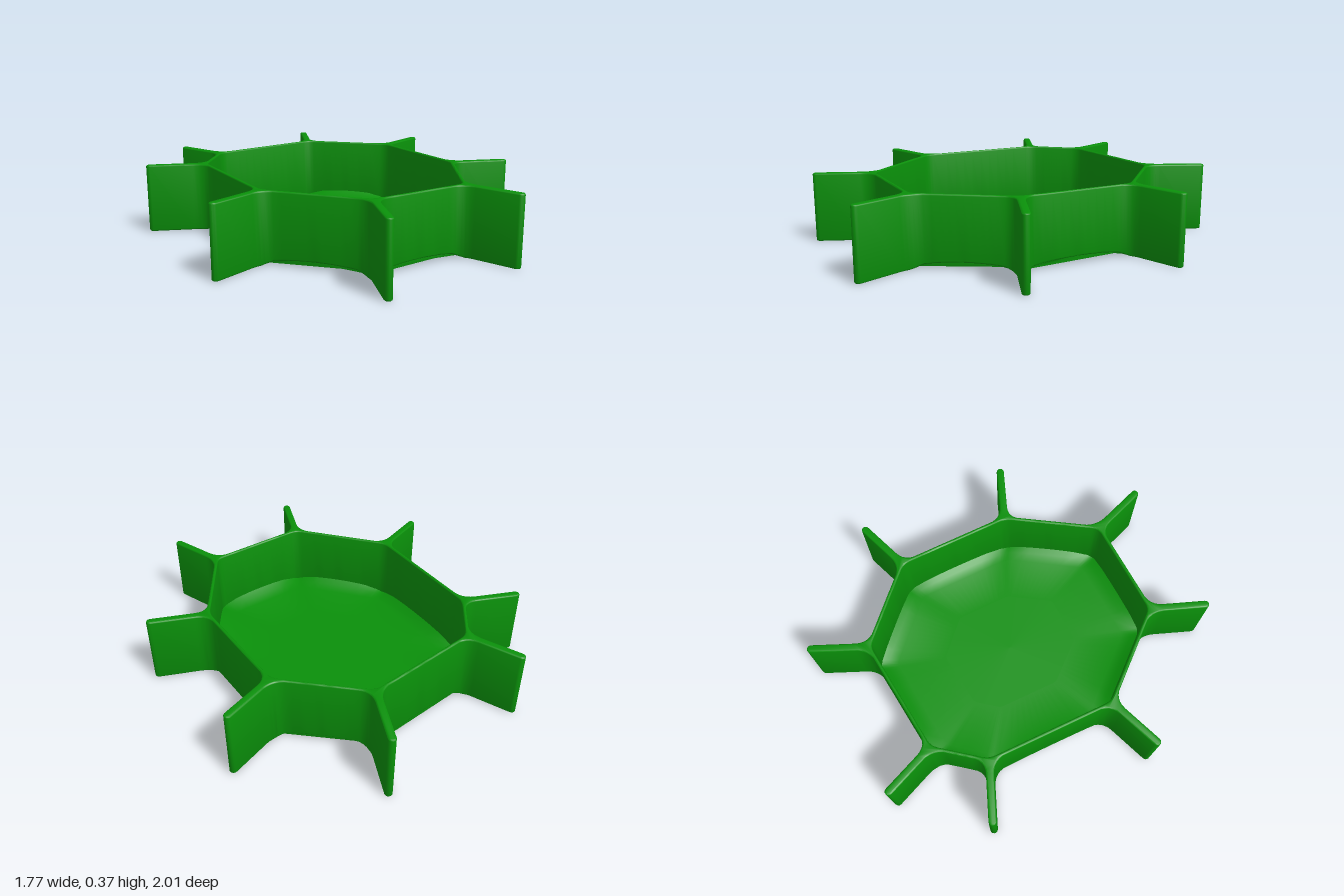
import * as THREE from 'three';
import { toCreasedNormals } from 'three/addons/utils/BufferGeometryUtils.js';

const V = (x, z) => new THREE.Vector2(x, z);
const HEIGHT = 0.367, WALL = 0.009, FIN = 0.02, FILLET = 0.07, INNER_FILLET = 0.04, STEPS = 10;

// Wall corners (x, z) and the fin tip belonging to each
const corners = [[-0.41, -0.635], [0.21, -0.71], [0.575, -0.37], [0.587, 0.245],
  [0.31, 0.69], [-0.23, 0.71], [-0.594, 0.29], [-0.594, -0.395]].map(p => V(...p));
const tips = [[-0.53, -0.917], [0.335, -1.003], [0.866, -0.48], [0.882, 0.357],
  [0.42, 0.985], [-0.34, 1.003], [-0.886, 0.402], [-0.886, -0.512]].map(p => V(...p));
const N = corners.length;
const at = i => corners[(i + N) % N];
const along = (p, d, s, n = V(0, 0), t = 0) => p.clone().addScaledVector(d, s).addScaledVector(n, t);
const dirTo = (a, b) => b.clone().sub(a).normalize();
const outward = d => V(d.y, -d.x);
const curve = (a, c, b, n) => new THREE.QuadraticBezierCurve(a, c, b).getPoints(n);

// Straight wall run between two fillets, offset sideways from the centre line
function wallRun(i, offset) {
  const a = at(i), b = at(i + 1), d = dirTo(a, b), len = a.distanceTo(b), pts = [];
  for (let k = 1; k < STEPS; k++)
    pts.push(along(a, d, FILLET + (len - 2 * FILLET) * k / STEPS, outward(d), offset));
  return pts;
}

// Outer plan: fillet, fin side, rounded tip, fin side, fillet, wall
function outerPlan() {
  const pts = [];
  for (let i = 0; i < N; i++) {
    const c = at(i), f = dirTo(c, tips[i]), side = outward(f);
    const dp = dirTo(c, at(i - 1)), dn = dirTo(c, at(i + 1));
    const len = c.distanceTo(tips[i]) - FIN;
    pts.push(...curve(along(c, dp, FILLET, outward(dp), -WALL), along(c, f, 0.01, side, FIN),
      along(c, f, FILLET, side, FIN), 5));
    for (let k = 0; k <= 6; k++) {
      const a = Math.PI * k / 6;
      pts.push(along(c, f, len + FIN * Math.sin(a), side, FIN * Math.cos(a)));
    }
    pts.push(...curve(along(c, f, FILLET, side, -FIN), along(c, f, 0.01, side, -FIN),
      along(c, dn, FILLET, outward(dn), WALL), 5));
    pts.push(...wallRun(i, WALL));
  }
  return pts;
}

// Inner plan: octagon with softened corners
function innerPlan() {
  const pts = [];
  for (let i = 0; i < N; i++) {
    const c = at(i), dp = dirTo(c, at(i - 1)), dn = dirTo(c, at(i + 1));
    pts.push(...curve(along(c, dp, INNER_FILLET, outward(dp), WALL), along(c, dirTo(c, V(0, 0)), WALL * 1.1),
      along(c, dn, INNER_FILLET, outward(dn), -WALL), 4));
    pts.push(...wallRun(i, -WALL));
  }
  return pts;
}

// The lower edge arches up midway along each wall
function lift(x, z) {
  let best = 0;
  for (let i = 0; i < N; i++) {
    const a = at(i), b = at(i + 1), d = dirTo(a, b), p = V(x, z).sub(a);
    const t = p.dot(d) / a.distanceTo(b);
    if (t > 0 && t < 1 && Math.abs(p.cross(d)) < 0.025)
      best = Math.max(best, 0.036 * Math.sqrt(Math.sin(Math.PI * t)) * Math.min(1, t * 8, (1 - t) * 8));
  }
  return best;
}

function wallGeometry() {
  const shape = new THREE.Shape(outerPlan());
  shape.holes.push(new THREE.Path(innerPlan()));
  const bevel = 0.008;
  const geo = new THREE.ExtrudeGeometry(shape, {
    depth: HEIGHT - 2 * bevel, bevelThickness: bevel, bevelSize: bevel, bevelOffset: -bevel, bevelSegments: 3
  });
  geo.rotateX(Math.PI / 2).translate(0, HEIGHT - bevel, 0);
  const p = geo.attributes.position;
  for (let i = 0; i < p.count; i++)
    if (p.getY(i) < 0.1) p.setY(i, p.getY(i) + lift(p.getX(i), p.getZ(i)));
  return toCreasedNormals(geo, 0.7);
}

// Thin dished floor: rings of [scale, height, share of the arch], underside first
function floorGeometry() {
  const plan = innerPlan(), n = plan.length, pos = [], index = [];
  const rings = [[0, 0.003, 0], [0.5, 0.003, 0], [0.86, 0.003, 0], [0.95, 0.003, 0.45], [1.015, 0.004, 1],
    [1.01, 0.026, 1], [0.95, 0.022, 0.45], [0.87, 0.02, 0], [0.5, 0.02, 0], [0, 0.02, 0]];
  for (const [s, y, arch] of rings)
    for (const q of plan) pos.push(q.x * s, y + arch * lift(q.x, q.y), q.y * s);
  for (let k = 0; k < rings.length - 1; k++)
    for (let i = 0; i < n; i++) {
      const j = (i + 1) % n, a = k * n + i, b = a + n, c = k * n + j, d = c + n;
      if (k > 0) index.push(a, b, c);
      if (k < rings.length - 2) index.push(b, d, c);
    }
  const geo = new THREE.BufferGeometry();
  geo.setAttribute('position', new THREE.Float32BufferAttribute(pos, 3));
  geo.setIndex(index);
  return toCreasedNormals(geo, 0.7);
}

export function createModel() {
  const green = new THREE.MeshStandardMaterial({ color: 0x0a900a });
  green.name = 'green';
  const group = new THREE.Group();
  group.name = 'finnedTray';
  const add = (name, geo) => {
    const mesh = new THREE.Mesh(geo, green);
    mesh.name = name;
    group.add(mesh);
  };
  add('wallAndFins', wallGeometry());
  add('floor', floorGeometry());
  return group;
}
